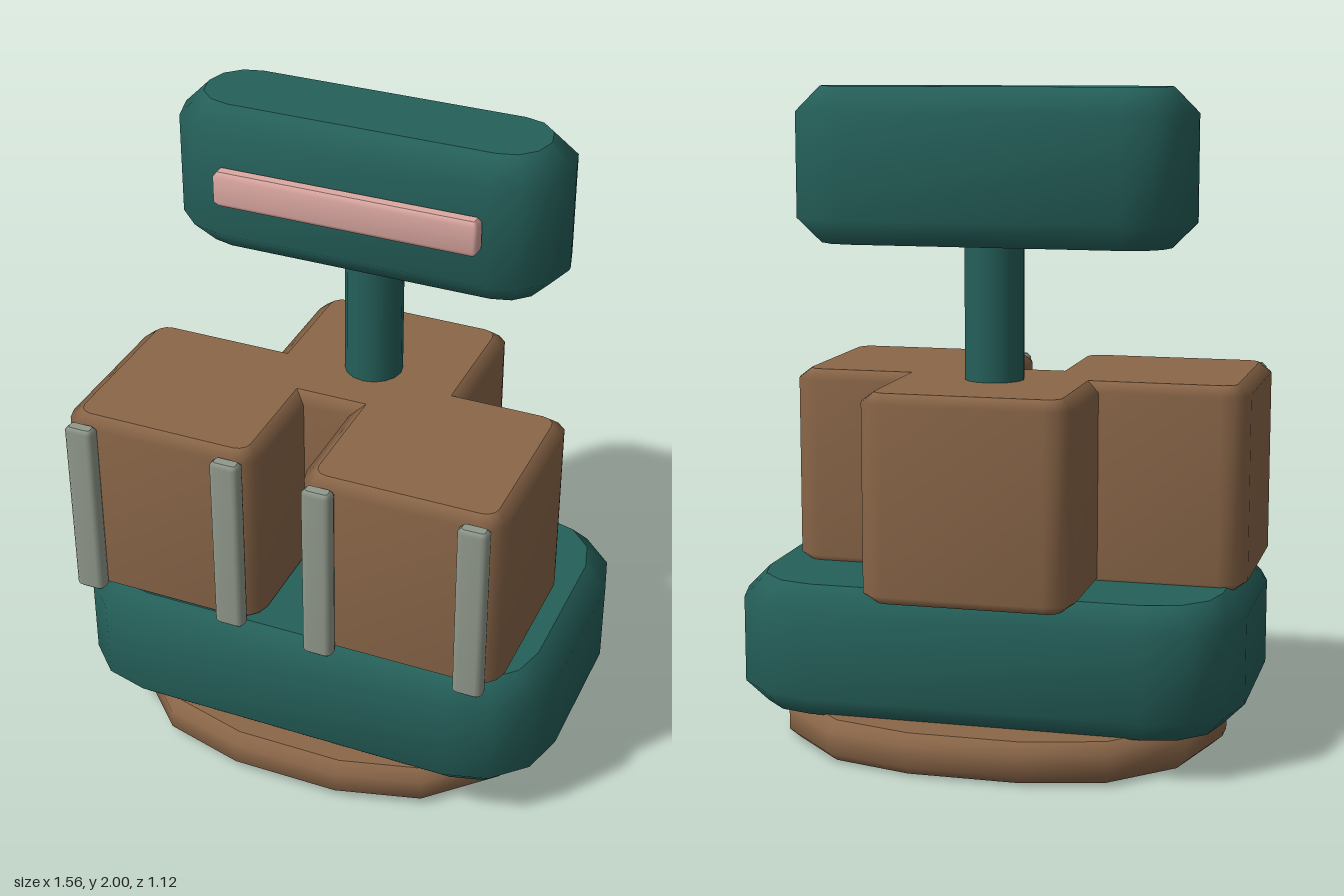
import * as THREE from 'three';

const mat = (name, color) => {
  const m = new THREE.MeshStandardMaterial({ color });
  m.name = name;
  return m;
};

// Rounded-rectangle block with chamfered rims: smooth sides, flat caps.
function softBlock([x0, x1], [y0, y1], [z0, z1], radius, bevel, rise = bevel, segs = 3) {
  const cx = (x0 + x1) / 2, cz = (z0 + z1) / 2;
  const hx = (x1 - x0) / 2, hz = (z1 - z0) / 2;
  const pos = [], index = [];

  const addRing = (y, inset) => {
    const start = pos.length / 3;
    const r = Math.max(radius - inset, 0.004);
    for (let q = 0; q < 4; q++) {
      const sx = q === 0 || q === 3 ? 1 : -1, sz = q < 2 ? 1 : -1;
      for (let i = 0; i <= segs; i++) {
        const a = (q + i / segs) * Math.PI / 2;
        pos.push(
          cx + sx * (hx - inset - r) + r * Math.cos(a),
          y,
          cz + sz * (hz - inset - r) + r * Math.sin(a)
        );
      }
    }
    return start;
  };

  const n = 4 * (segs + 1);
  const rings = [[y0, bevel], [y0 + rise, 0], [y1 - rise, 0], [y1, bevel]].map(([y, d]) => addRing(y, d));
  for (let k = 0; k < 3; k++) {
    for (let i = 0; i < n; i++) {
      const j = (i + 1) % n;
      const a = rings[k] + i, b = rings[k + 1] + i, c = rings[k] + j, d = rings[k + 1] + j;
      index.push(a, b, c, b, d, c);
    }
  }
  // caps have their own vertices so their rims stay crisp
  const bottom = addRing(y0, bevel), top = addRing(y1, bevel);
  for (let i = 1; i < n - 1; i++) {
    index.push(bottom, bottom + i, bottom + i + 1);
    index.push(top, top + i + 1, top + i);
  }

  const g = new THREE.BufferGeometry();
  g.setAttribute('position', new THREE.Float32BufferAttribute(pos, 3));
  g.setIndex(index);
  g.computeVertexNormals();
  return g;
}

export function createModel() {
  const group = new THREE.Group();
  const teal = mat('teal', 0x25605a);
  const brown = mat('brown', 0x8a6648);
  const sage = mat('sage', 0x90988b);
  const pink = mat('pink', 0xdca8a2);

  const add = (name, geometry, material) => {
    const mesh = new THREE.Mesh(geometry, material);
    mesh.name = name;
    group.add(mesh);
    return mesh;
  };

  // foot and body
  add('foot', softBlock([-0.69, 0.69], [0, 0.125], [-0.56, 0.56], 0.52, 0.035, 0.03), brown);
  add('body', softBlock([-0.78, 0.78], [0.12, 0.525], [-0.48, 0.525], 0.27, 0.07), teal);

  // three crates on the body
  add('rightCrate', softBlock([-0.765, -0.13], [0.505, 1.13], [-0.165, 0.46], 0.08, 0.04, 0.03), brown);
  add('leftCrate', softBlock([0.02, 0.655], [0.515, 1.13], [-0.135, 0.485], 0.08, 0.04, 0.03), brown);
  add('backCrate', softBlock([-0.32, 0.32], [0.505, 1.13], [-0.545, 0.09], 0.08, 0.04, 0.03), brown);

  // upright slats on the front crates
  for (const [x, z] of [[-0.688, 0.45], [-0.207, 0.45], [0.097, 0.475], [0.576, 0.475]]) {
    add('slat', softBlock([x - 0.047, x + 0.047], [0.52, 1.115], [z, z + 0.053], 0.02, 0.012), sage);
  }

  // neck, head and visor
  const neck = add('neck', new THREE.CylinderGeometry(0.09, 0.09, 0.7, 16), teal);
  neck.position.set(0, 1.25, -0.158);
  add('head', softBlock([-0.61, 0.61], [1.535, 2], [-0.36, 0.045], 0.195, 0.075), teal);
  add('visor', softBlock([-0.41, 0.41], [1.728, 1.838], [0.043, 0.097], 0.012, 0.012, 0.015), pink);

  return group;
}
